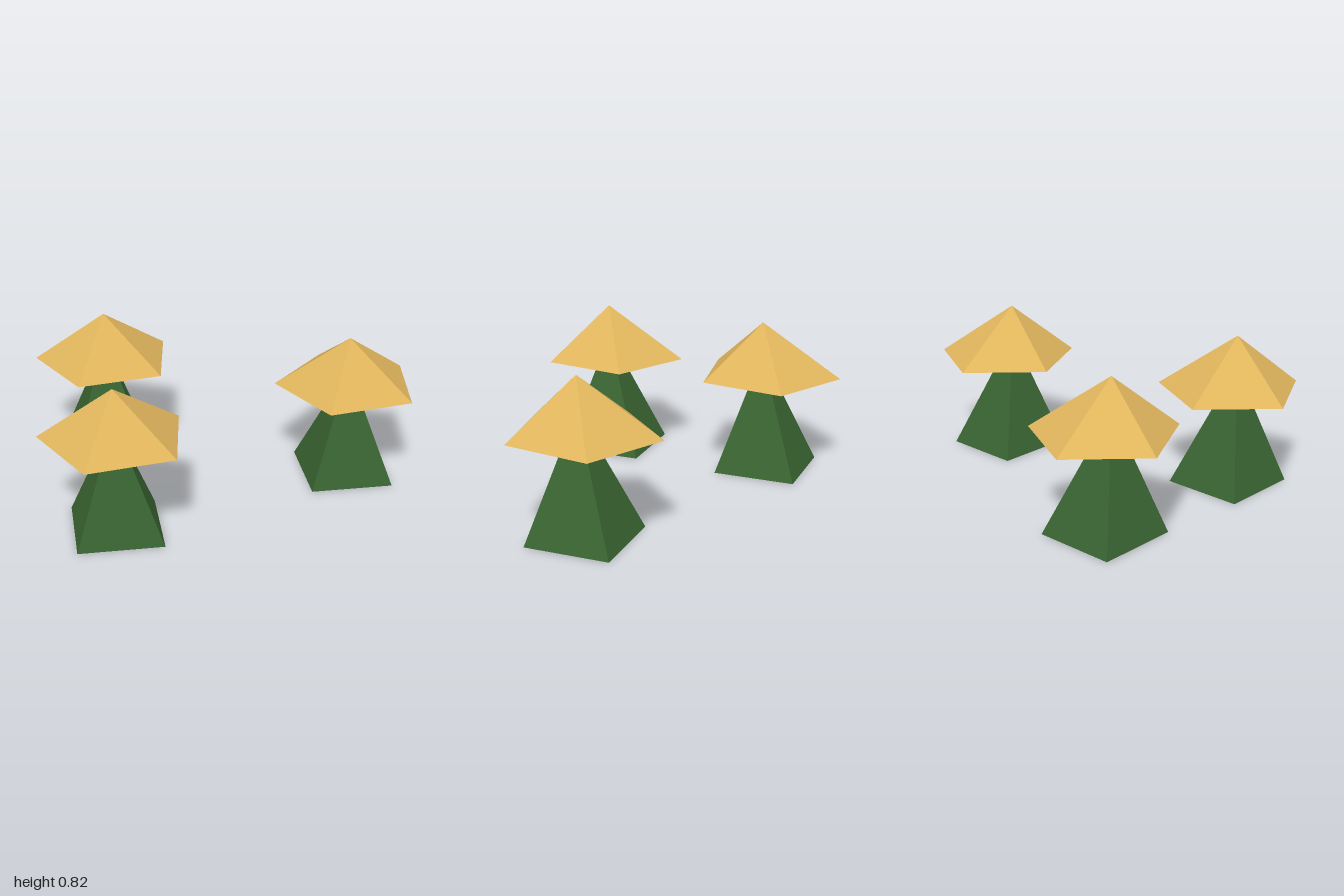
import * as THREE from 'three';

const gold = new THREE.MeshStandardMaterial({ color: 0xdfb45c, flatShading: true });
gold.name = 'gold';
const green = new THREE.MeshStandardMaterial({ color: 0x396432, flatShading: true });
green.name = 'dark green';

// Low-poly cone standing on baseY, with a corner on +x and its tip nudged off centre
function leaningCone(radius, height, sides, baseY) {
  const indexed = new THREE.ConeGeometry(radius, height, sides, 1, false, Math.PI / 2);
  const geometry = indexed.toNonIndexed();
  const p = geometry.attributes.position;
  for (let i = 0; i < p.count; i++) {
    if (p.getY(i) > 0) {
      p.setX(i, p.getX(i) + 0.022);
      p.setZ(i, p.getZ(i) + 0.034);
    }
  }
  geometry.translate(0, height / 2 + baseY, 0);
  geometry.computeVertexNormals();
  return geometry;
}

export function createModel() {
  const model = new THREE.Group();
  model.name = 'mushrooms';

  const stemGeometry = leaningCone(0.318, 0.65, 4, 0);
  const capGeometry = leaningCone(0.396, 0.29, 5, 0.535);

  // Three identical mushrooms
  const spots = [[-0.677, -0.085], [-0.04, 0.608], [0.597, -0.615]];
  spots.forEach(([x, z], i) => {
    const mushroom = new THREE.Group();
    mushroom.name = `mushroom${i + 1}`;
    const stem = new THREE.Mesh(stemGeometry, green);
    stem.name = 'stem';
    const cap = new THREE.Mesh(capGeometry, gold);
    cap.name = 'cap';
    mushroom.add(stem, cap);
    mushroom.position.set(x, 0, z);
    model.add(mushroom);
  });

  return model;
}
